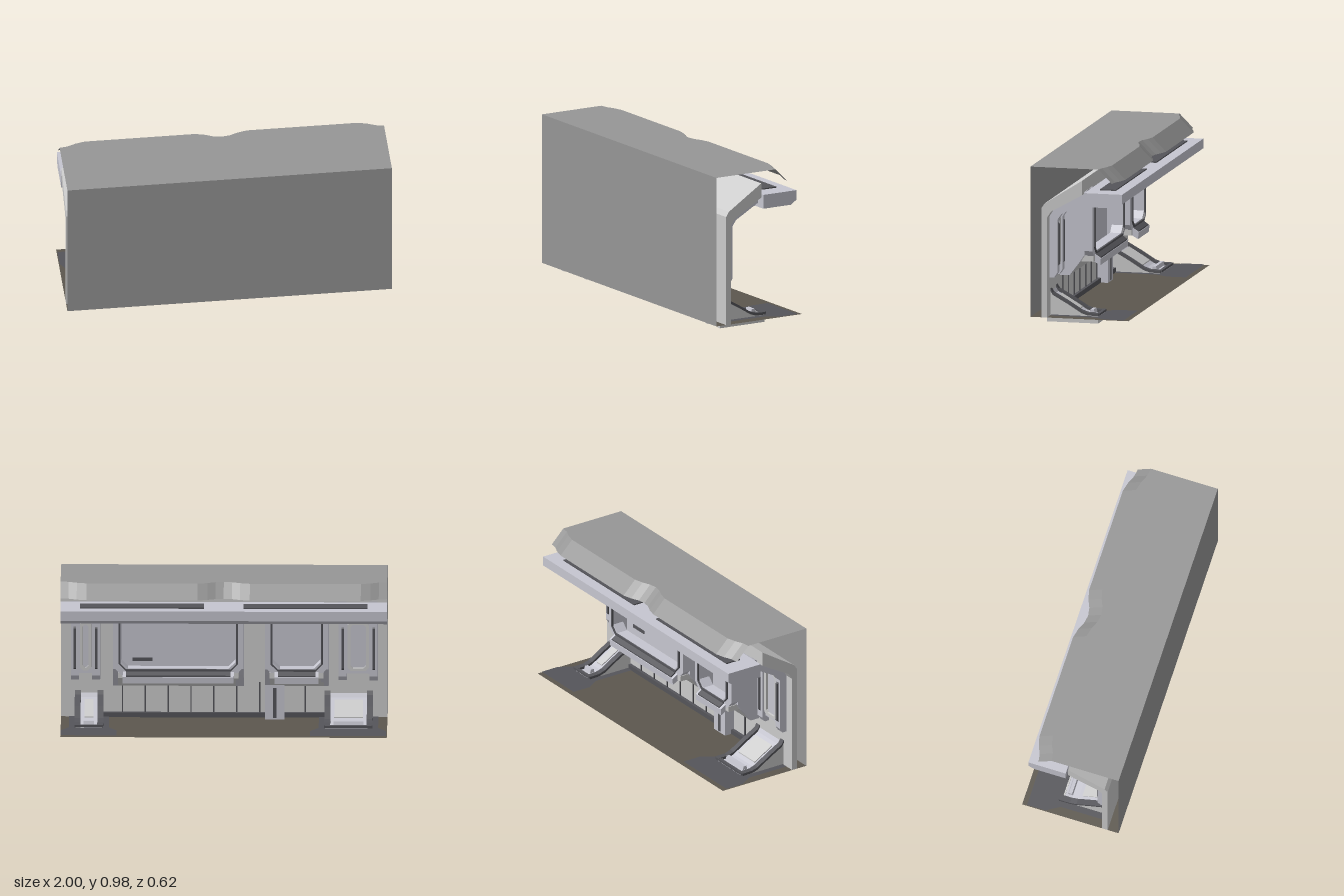
import * as THREE from 'three';

const material = (color) => new THREE.MeshStandardMaterial({ color, side: THREE.DoubleSide, flatShading: true });
const grey = material(0xcccccc);
const shell = material(0x969696);
const dark = material(0x55555a);
const light = material(0xc6c6d0);
const floorMat = material(0x5c574e);

export function createModel() {
  const model = new THREE.Group();

  const add = (name, geometry, mat, parent = model) => {
    const mesh = new THREE.Mesh(geometry, mat);
    mesh.name = name;
    parent.add(mesh);
    return mesh;
  };
  // Box given by its limits on each axis
  const box = (name, x0, x1, y0, y1, z0, z1, mat, parent) => {
    const g = new THREE.BoxGeometry(x1 - x0, y1 - y0, z1 - z0);
    g.translate((x0 + x1) / 2, (y0 + y1) / 2, (z0 + z1) / 2);
    return add(name, g, mat, parent);
  };
  // Side profile of [z, y] points drawn out from x0 to x1
  const profile = (name, points, x0, x1, mat, parent) => {
    const shape = new THREE.Shape(points.map(([z, y]) => new THREE.Vector2(-z, y)));
    const g = new THREE.ExtrudeGeometry(shape, { depth: x1 - x0, bevelEnabled: false });
    g.rotateY(Math.PI / 2).translate(x0, 0, 0);
    return add(name, g, mat, parent);
  };
  // Rectangle with cut corners
  const cutRect = (x0, x1, y0, y1, c) => [
    [x0 + c, y0], [x1 - c, y0], [x1, y0 + c], [x1, y1 - c],
    [x1 - c, y1], [x0 + c, y1], [x0, y1 - c], [x0, y0 + c],
  ].map(([x, y]) => new THREE.Vector2(x, y));
  // Upright ring-shaped frame
  const frame = (name, x0, x1, y0, y1, z0, z1, w, c, mat, parent) => {
    const shape = new THREE.Shape(cutRect(x0, x1, y0, y1, c));
    shape.holes.push(new THREE.Path(cutRect(x0 + w, x1 - w, y0 + w, y1 - w, c * 0.7)));
    const g = new THREE.ExtrudeGeometry(shape, { depth: z1 - z0, bevelEnabled: false });
    g.translate(0, 0, z0);
    return add(name, g, mat, parent);
  };
  // Band of constant thickness under a [z, y] path
  const band = (path, top, bottom) => [
    ...path.map(([z, y]) => [z, y + top]),
    ...path.slice().reverse().map(([z, y]) => [z, y + bottom]),
  ];

  // Outer sheet and floor
  const sheet = new THREE.PlaneGeometry(2, 0.935);
  sheet.translate(0, 0.5075, 0.31);
  add('outerSheet', sheet, shell);
  const floor = new THREE.PlaneGeometry(2, 0.62);
  floor.rotateX(-Math.PI / 2).translate(0, 0.04, 0);
  add('floor', floor, floorMat);

  // Roof: flat, with a sloping rear flap that is set back at the bay ends
  const half = [[0, 0], [0.05, 0.008], [0.1, 0.03], [0.16, 0.045], [0.84, 0.045], [0.9, 0.03], [0.95, 0.008], [1, 0]];
  const columns = [...half.map(([x, d]) => [x - 1, d]), ...half.slice(1)];
  const roofPos = [], roofIdx = [];
  columns.forEach(([x, d], i) => {
    const crease = -0.12 - d;
    roofPos.push(x, 0.975, 0.31, x, 0.975, crease, x, 0.89, crease - 0.085);
    if (i === 0) return;
    for (let r = 0; r < 2; r++) {
      const a = (i - 1) * 3 + r, b = i * 3 + r;
      roofIdx.push(a, b, a + 1, b, b + 1, a + 1);
    }
  });
  const roof = new THREE.BufferGeometry();
  roof.setAttribute('position', new THREE.Float32BufferAttribute(roofPos, 3));
  roof.setIndex(roofIdx);
  roof.computeVertexNormals();
  add('roof', roof, shell);

  // Inner wall curving over into the ceiling
  profile('innerWall', [
    [0.24, 0.04], [0.24, 0.72], [0.22, 0.75], [-0.015, 0.9],
    [-0.015, 0.81], [0.18, 0.7], [0.205, 0.66], [0.205, 0.04],
  ], -1, 1, grey);
  for (let i = 0; i < 9; i++) {
    const x = -0.5 + i * 0.14;
    box('wallSeam', x, x + 0.008, 0.04, 0.26, 0.198, 0.206, dark);
  }
  box('skirting', -0.62, 0.74, 0.04, 0.07, 0.185, 0.206, dark);

  // Overhead beam
  profile('overheadBeam', [
    [-0.03, 0.825], [-0.27, 0.825], [-0.27, 0.765], [-0.23, 0.738], [-0.03, 0.738],
  ], -1, 1, light);
  for (const [x0, x1] of [[-0.88, -0.12], [0.12, 0.88]]) {
    box('beamUnderPlate', x0, x1, 0.73, 0.739, -0.15, -0.035, grey);
    box('beamTopStrip', x0, x1, 0.824, 0.832, -0.2, -0.1, dark);
  }

  // Arched ribs with a recessed pad between each pair
  const ribSection = [
    [0.21, 0.28], [0.21, 0.68], [0.19, 0.71], [-0.03, 0.83],
    [-0.03, 0.765], [0.13, 0.675], [0.155, 0.64], [0.155, 0.31], [0.175, 0.28],
  ];
  const padSection = [
    [0.21, 0.32], [0.21, 0.68], [0.19, 0.7], [-0.02, 0.82],
    [-0.02, 0.79], [0.165, 0.685], [0.18, 0.65], [0.18, 0.32],
  ];
  const arch = (x0, x1) => {
    const group = new THREE.Group();
    group.name = 'archFrame';
    profile('archPad', padSection, x0, x1, light, group);
    for (const x of [x0, x1 - 0.05]) {
      profile('archRib', ribSection, x, x + 0.05, light, group);
      profile('ribTrim', [[0.156, 0.35], [0.156, 0.62], [0.147, 0.61], [0.147, 0.36]], x + 0.017, x + 0.033, dark, group);
    }
    frame('archPanelFrame', x0 + 0.055, x1 - 0.055, 0.34, 0.65, 0.165, 0.185, 0.018, 0.02, grey, group);
    model.add(group);
  };
  arch(-0.94, -0.7);
  arch(0.76, 0.94);

  // Projecting window bays
  const bay = (x0, x1) => {
    const group = new THREE.Group();
    group.name = 'windowBay';
    const cheek = [
      [0.21, 0.25], [0.145, 0.25], [0.08, 0.335], [0.05, 0.38], [0.05, 0.74], [0.02, 0.79], [0.18, 0.71], [0.21, 0.66],
    ];
    profile('bayCheek', cheek, x0, x0 + 0.05, light, group);
    profile('bayCheek', cheek, x1 - 0.05, x1, light, group);
    profile('bayUnderside', [[0.21, 0.25], [0.145, 0.25], [0.08, 0.335], [0.0, 0.335], [0.0, 0.37], [0.1, 0.37], [0.21, 0.3]],
      x0 + 0.03, x1 - 0.03, grey, group);
    box('windowPanel', x0 + 0.04, x1 - 0.04, 0.33, 0.72, 0.1, 0.115, light, group);
    frame('windowFrame', x0, x1, 0.345, 0.77, 0.0, 0.07, 0.05, 0.06, light, group);
    frame('windowGasket', x0 + 0.035, x1 - 0.035, 0.38, 0.735, -0.01, 0.02, 0.012, 0.045, dark, group);
    profile('windowSill', [[0.03, 0.345], [-0.035, 0.31], [-0.037, 0.35], [0, 0.375], [0.03, 0.375]],
      x0 + 0.06, x1 - 0.06, light, group);
    profile('sillTrim', [[0.0, 0.375], [-0.035, 0.352], [-0.035, 0.36], [0.0, 0.383]],
      x0 + 0.08, x1 - 0.08, dark, group);
    profile('bayHead', [[0.07, 0.73], [0.0, 0.73], [-0.03, 0.76], [-0.03, 0.82], [0.07, 0.77]],
      x0 + 0.05, x1 - 0.05, grey, group);
    model.add(group);
  };
  bay(-0.12, 0.68);
  bay(-0.64, -0.25);
  box('panelSlot', 0.44, 0.56, 0.42, 0.44, 0.094, 0.101, dark);
  box('lowerColumn', -0.37, -0.25, 0.04, 0.28, 0.14, 0.206, light);
  box('columnGroove', -0.32, -0.3, 0.05, 0.24, 0.135, 0.141, dark);

  // Ramped feet that pass through the floor
  const ramp = [[0.228, 0.27], [0.218, 0.22], [0.19, 0.175], [0.1, 0.125], [0.01, 0.07], [-0.03, 0.057], [-0.1, 0.055]];
  const foot = (x0, x1) => {
    const group = new THREE.Group();
    group.name = 'foot';
    const side = [[0.228, 0], ...ramp.slice(0, -1), [-0.095, 0.055], [-0.095, 0]];
    for (const x of [x0, x1 - 0.025]) {
      profile('footSide', side, x, x + 0.025, grey, group);
      profile('footRail', band(ramp, 0.008, -0.008), x - 0.006, x + 0.031, dark, group);
    }
    box('footNose', x0, x1, 0, 0.055, -0.095, -0.075, grey, group);
    profile('rampPlate', band(ramp, -0.008, -0.025), x0 + 0.02, x1 - 0.02, light, group);
    profile('rampInset', [[0.16, 0.155], [0.03, 0.078], [0.03, 0.085], [0.16, 0.162]],
      x0 + 0.055, x1 - 0.055, grey, group);
    box('rampEndTrim', x0, x1, 0.05, 0.063, -0.105, -0.085, dark, group);
    profile('footLatch', [[-0.03, 0.055], [-0.035, 0.078], [-0.055, 0.078], [-0.062, 0.055]],
      x0 + 0.05, x1 - 0.05, light, group);
    // Thin trim lying on the floor around the foot
    const flange = new THREE.Shape([[x0 - 0.04, -0.2], [x1 + 0.04, -0.2], [x1 + 0.04, 0.08], [x1 + 0.09, 0.16],
      [x1 + 0.09, 0.28], [x0 - 0.09, 0.28], [x0 - 0.09, 0.16], [x0 - 0.04, 0.08]].map(([x, y]) => new THREE.Vector2(x, y)));
    const g = new THREE.ShapeGeometry(flange);
    g.rotateX(-Math.PI / 2).translate(0, 0.044, 0);
    add('floorTrim', g, dark, group);
    model.add(group);
  };
  foot(-0.905, -0.62);
  foot(0.745, 0.91);

  return model;
}
